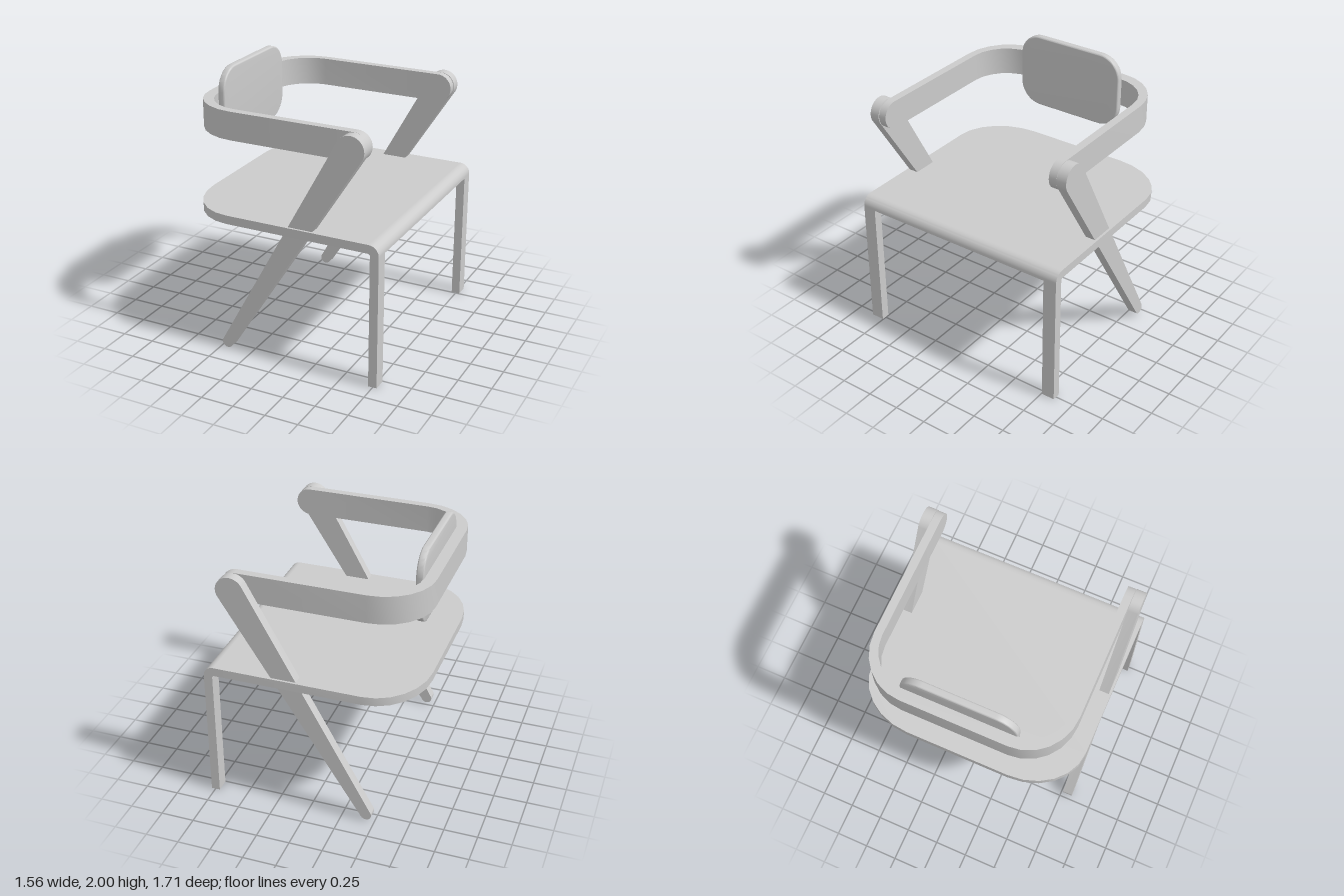
import * as THREE from 'three';
import { toCreasedNormals } from 'three/addons/utils/BufferGeometryUtils.js';

const material = new THREE.MeshStandardMaterial({ color: 0xcccccc });
const CORNER_X = -0.4, CORNER_Z = 0.4; // centre of the rounded rear corners

function addMesh(parent, name, geometry) {
  const mesh = new THREE.Mesh(toCreasedNormals(geometry, 0.6), material);
  mesh.name = name;
  parent.add(mesh);
}

// Extrude with an optional bevel that stays inside the given total depth
function extrude(shape, depth, bevel = 0, curveSegments = 3) {
  const geometry = new THREE.ExtrudeGeometry(shape, {
    depth: depth - 2 * bevel, curveSegments, bevelEnabled: bevel > 0,
    bevelThickness: bevel, bevelSize: bevel, bevelOffset: -bevel, bevelSegments: 4,
  });
  return geometry.translate(0, 0, bevel);
}

// Lay a plan outline flat, with its underside at height y
const layFlat = (geometry, y) => geometry.rotateX(-Math.PI / 2).translate(0, y, 0);

// Outline from front to back and round again, with elliptical rear corners
function traceU(path, front, back, side) {
  const rx = CORNER_X - back, rz = side - CORNER_Z;
  path.moveTo(front, side);
  path.lineTo(CORNER_X, side);
  path.absellipse(CORNER_X, CORNER_Z, rx, rz, Math.PI / 2, Math.PI, false, 0);
  path.absellipse(CORNER_X, -CORNER_Z, rx, rz, Math.PI, Math.PI * 1.5, false, 0);
  path.lineTo(front, -side);
  return path;
}

// Hull of two circles of different radius
function taperedBar(bottom, r, top, R) {
  const axis = top.clone().sub(bottom);
  const angle = axis.angle(), spread = Math.acos((R - r) / axis.length());
  const shape = new THREE.Shape();
  shape.absarc(top.x, top.y, R, angle - spread, angle + spread, false);
  shape.absarc(bottom.x, bottom.y, r, angle + spread, angle - spread + 2 * Math.PI, false);
  return shape;
}

function roundedRect(w, h, r) {
  const s = new THREE.Shape(), x = w / 2 - r, y = h / 2 - r, q = Math.PI / 2;
  s.absarc(x, y, r, 0, q);
  s.absarc(-x, y, r, q, 2 * q);
  s.absarc(-x, -y, r, 2 * q, 3 * q);
  s.absarc(x, -y, r, 3 * q, 4 * q);
  return s;
}

export function createModel() {
  const chair = new THREE.Group();
  chair.name = 'chair';

  // Seat panel with rounded rear corners
  const seat = new THREE.Group();
  seat.name = 'seat';
  chair.add(seat);
  const seatPlan = traceU(new THREE.Shape(), 0.705, -0.78, 0.857);
  addMesh(seat, 'seatPanel', layFlat(extrude(seatPlan, 0.065), 1.02));

  // Front edge of the seat, rolled down to the legs
  const bend = new THREE.Shape();
  bend.moveTo(0.705, 1.02);
  bend.lineTo(0.715, 1.01);
  bend.lineTo(0.715, 1.0);
  bend.lineTo(0.78, 1.0);
  bend.absarc(0.705, 1.01, 0.075, 0, Math.PI / 2, false);
  addMesh(seat, 'seatFrontBend', extrude(bend, 1.714, 0, 6).translate(0, 0, -0.857));

  // Pad under the seat: rounded lower edge, cut off square at the front
  const padPlan = traceU(new THREE.Shape(), 0.82, -0.66, 0.752);
  const pad = layFlat(extrude(padPlan, 0.11, 0.05), 0.95);
  const p = pad.attributes.position;
  for (let i = 0; i < p.count; i++) p.setX(i, Math.min(p.getX(i), 0.718));
  addMesh(seat, 'underSeatPad', pad);

  // Armrest: one band bent round the back
  const armrest = new THREE.Group();
  armrest.name = 'armrest';
  chair.add(armrest);
  const band = traceU(new THREE.Shape(), 0.55, -0.78, 0.762);
  const inner = traceU(new THREE.Path(), 0.55, -0.695, 0.702).getPoints(3).reverse();
  inner.forEach((v) => band.lineTo(v.x, v.y));
  addMesh(armrest, 'armrestBand', layFlat(extrude(band, 0.21), 1.615));

  // Half round arm ends, slanted legs and front legs on both sides
  const armEnd = new THREE.Shape();
  armEnd.absarc(0.55, 1.72, 0.105, -Math.PI / 2, Math.PI / 2, false);
  const slanted = taperedBar(new THREE.Vector2(-0.435, 0.055), 0.042,
    new THREE.Vector2(0.553, 1.72), 0.105);
  for (const [side, sign] of [['Right', 1], ['Left', -1]]) {
    const place = (shape, from, to) =>
      extrude(shape, to - from, 0, 10).translate(0, 0, sign > 0 ? from : -to);
    addMesh(armrest, 'armEnd' + side, place(armEnd, 0.702, 0.762));
    addMesh(chair, 'slantedLeg' + side, place(slanted, 0.765, 0.84));
    const leg = new THREE.BoxGeometry(0.065, 1.0, 0.102);
    addMesh(chair, 'straightLeg' + side, leg.translate(0.7475, 0.5, sign * 0.806));
  }

  // Backrest panel in front of the band
  const back = extrude(roundedRect(0.87, 0.57, 0.17), 0.055, 0.012, 8);
  addMesh(chair, 'backrest', back.rotateY(Math.PI / 2).translate(-0.695, 1.715, 0));

  return chair;
}
